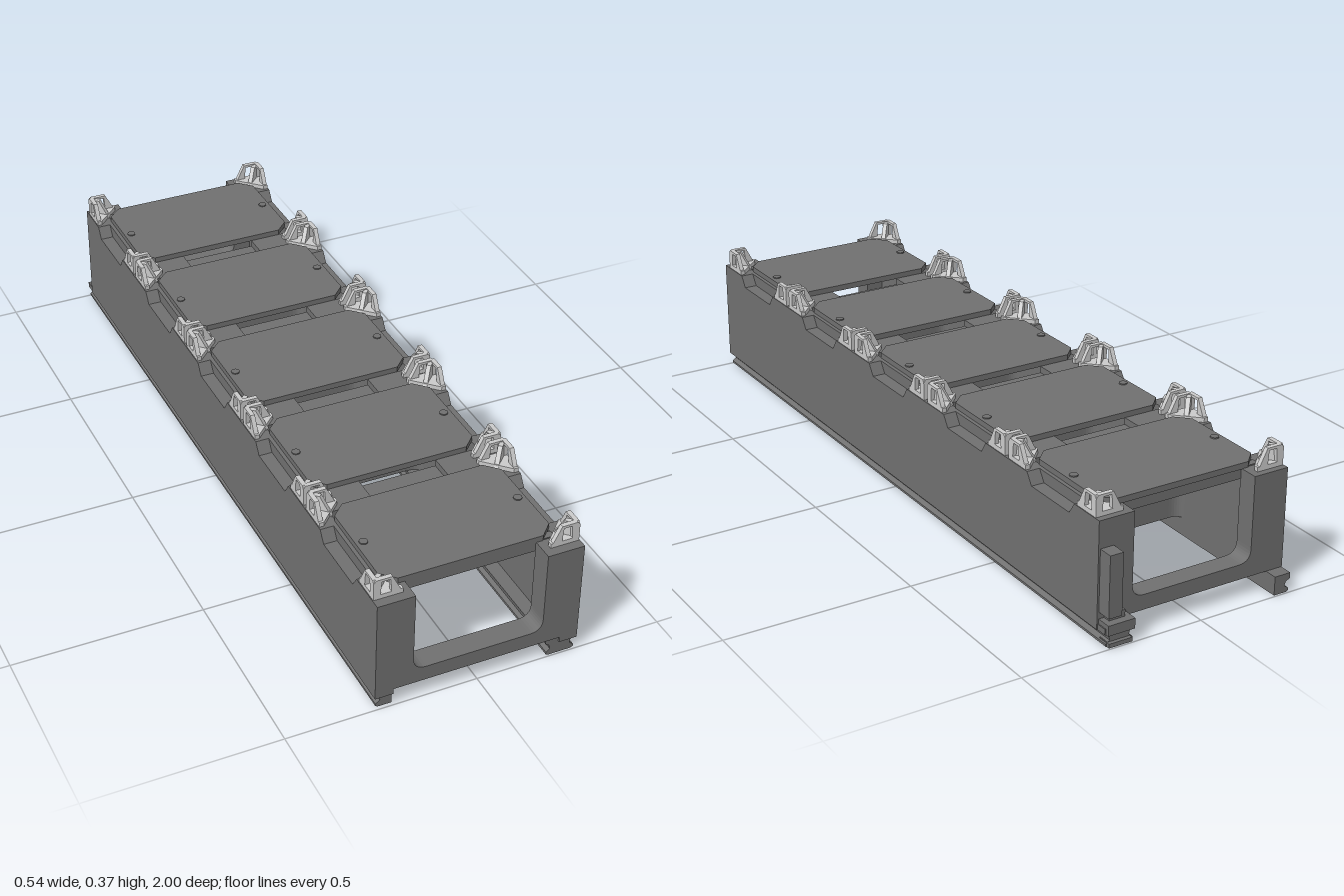
import * as THREE from 'three';

const dark = new THREE.MeshStandardMaterial({ color: 0x707070, flatShading: true });
const light = new THREE.MeshStandardMaterial({ color: 0xcccccc, flatShading: true });
const BAYS = [0.79, 0.403, 0.016, -0.371, -0.758]; // bay centres along z
const BACK = -0.96;

const poly = (pts) => new THREE.Shape(pts.map(([x, y]) => new THREE.Vector2(x, y)));
const extrude = (shape, depth) =>
  new THREE.ExtrudeGeometry(shape, { depth, bevelEnabled: false, curveSegments: 8 });

export function createModel() {
  const root = new THREE.Group();
  const add = (name, geo, mat = dark, parent = root) => {
    const mesh = new THREE.Mesh(geo, mat);
    mesh.name = name;
    parent.add(mesh);
    return mesh;
  };
  // box given by its limits on each axis
  const box = (name, x0, x1, y0, y1, z0, z1, mat = dark) =>
    add(name, new THREE.BoxGeometry(x1 - x0, y1 - y0, z1 - z0), mat)
      .position.set((x0 + x1) / 2, (y0 + y1) / 2, (z0 + z1) / 2);

  // Side walls: solid inner skin and an outer skin with scooped top notches
  const outline = [[BACK, 0.035], [1, 0.035], [1, 0.315]];
  for (const c of BAYS)
    outline.push([c + 0.1, 0.315], [c + 0.08, 0.285], [c - 0.08, 0.285], [c - 0.1, 0.315]);
  outline.push([BACK, 0.315]);
  for (const s of [-1, 1]) {
    const skin = extrude(poly(outline), 0.035).rotateY(-Math.PI / 2);
    add('sideWall', skin.translate(s > 0 ? 0.27 : -0.235, 0, 0));
    const [a, b] = s > 0 ? [0.222, 0.235] : [-0.235, -0.222];
    box('innerWall', a, b, 0.035, 0.315, BACK, 1);
  }

  // Bottom rails with a necked, flared profile
  const leftRail = [[0.185, 0.05], [0.188, 0.035], [0.197, 0.03], [0.2, 0.018], [0.19, 0.01],
    [0.19, 0.003], [0.197, 0], [0.258, 0], [0.265, 0.004], [0.265, 0.01], [0.254, 0.018],
    [0.256, 0.029], [0.268, 0.035], [0.268, 0.05]];
  const rightRail = [[-0.222, 0.05], [-0.268, 0.05], [-0.268, 0.035], [-0.256, 0.029],
    [-0.252, 0.018], [-0.264, 0.01], [-0.264, 0.004], [-0.258, 0], [-0.222, 0]];
  add('leftRail', extrude(poly(leftRail), 1.985).translate(0, 0, -0.99));
  add('rightRail', extrude(poly(rightRail), 1.985).translate(0, 0, -0.995));

  // End frames: U-shaped with rounded lower corners
  const frame = new THREE.Shape();
  frame.moveTo(-0.268, 0.05);
  frame.lineTo(0.268, 0.05);
  frame.lineTo(0.268, 0.315);
  frame.lineTo(0.172, 0.315);
  frame.lineTo(0.172, 0.125);
  frame.quadraticCurveTo(0.172, 0.09, 0.137, 0.09);
  frame.lineTo(-0.137, 0.09);
  frame.quadraticCurveTo(-0.172, 0.09, -0.172, 0.125);
  frame.lineTo(-0.172, 0.315);
  frame.lineTo(-0.268, 0.315);
  add('frontFrame', extrude(frame, 0.06).translate(0, 0, 0.94));
  add('backFrame', extrude(frame, 0.055).translate(0, 0, BACK));
  box('frontBeam', -0.222, 0.222, 0.288, 0.318, 0.92, 0.94);
  box('backBeam', -0.222, 0.222, 0.288, 0.318, -0.907, -0.887);

  // Dividers between bays, blended into the walls by round fillets
  const w = 0.224, d = 0.042, r = 0.035;
  const plan = new THREE.Shape();
  plan.moveTo(-w, -d - r);
  plan.quadraticCurveTo(-w, -d, -w + r, -d);
  plan.lineTo(w - r, -d);
  plan.quadraticCurveTo(w, -d, w, -d - r);
  plan.lineTo(w, d + r);
  plan.quadraticCurveTo(w, d, w - r, d);
  plan.lineTo(-w + r, d);
  plan.quadraticCurveTo(-w, d, -w, d + r);
  const bar = poly([[-w, 0.288], [w, 0.288], [w, 0.315], [0.105, 0.315], [0.105, 0.297],
    [-0.105, 0.297], [-0.105, 0.315], [-w, 0.315]]);
  for (let i = 0; i < 4; i++) {
    const z = (BAYS[i] + BAYS[i + 1]) / 2;
    add('divider', extrude(plan, 0.19).rotateX(Math.PI / 2).translate(0, 0.24, z));
    add('dividerTopBar', extrude(bar, 2 * d).translate(0, 0, z - d));
    box('dividerPost', -w, -0.153, 0.24, 0.288, z - d, z + d);
    box('dividerPost', 0.153, w, 0.24, 0.288, z - d, z + d);
  }

  // Corner locator: two sloped windowed legs on a triangular foot with a brace
  const leg = poly([[0, 0], [0.076, 0], [0.048, 0.055], [0.006, 0.055], [0, 0.047]]);
  leg.holes.push(new THREE.Path(
    [[0.018, 0.012], [0.021, 0.048], [0.043, 0.048], [0.046, 0.012]]
      .map(([x, y]) => new THREE.Vector2(x, y))));
  const legX = extrude(leg, 0.012);
  const legZ = extrude(leg, 0.012).rotateY(-Math.PI / 2).translate(0.012, 0, 0);
  const foot = extrude(poly([[0, 0], [0.076, 0], [0.076, 0.012], [0.012, 0.076], [0, 0.076]]), 0.012)
    .rotateX(Math.PI / 2).translate(0, 0.012, 0);
  const brace = extrude(poly([[0, 0], [0.058, 0], [0.028, 0.052], [0, 0.052]]), 0.012)
    .translate(0, 0, -0.006).rotateY(-Math.PI / 4).translate(0.006, 0, 0.006);

  // Top plates with clipped corners, pins and four locators each
  const p = 0.225, q = 0.152, k = 0.035;
  const plate = poly([[-p + k, -q], [p - k, -q], [p, -q + k], [p, q - k], [p - k, q],
    [-p + k, q], [-p, q - k], [-p, -q + k]]);
  for (const c of BAYS) {
    add('topPlate', extrude(plate, 0.016).rotateX(Math.PI / 2).translate(0, 0.33, c));
    for (const sx of [-1, 1]) {
      add('platePin', new THREE.CylinderGeometry(0.011, 0.011, 0.004, 12))
        .position.set(sx * 0.205, 0.331, c);
      for (const sz of [-1, 1]) {
        const locator = new THREE.Group();
        locator.name = 'cornerLocator';
        locator.position.set(sx * 0.268, 0.315, c + sz * 0.185);
        locator.scale.set(-sx, 1, -sz);
        add('locatorLeg', legX, light, locator);
        add('locatorLeg', legZ, light, locator);
        add('locatorFoot', foot, light, locator);
        add('locatorBrace', brace, light, locator);
        root.add(locator);
      }
    }
  }

  // Back coupling on the left side: tall lip above a clip block
  box('backLip', 0.228, 0.265, 0.08, 0.243, -1, BACK);
  box('couplingClip', 0.19, 0.265, 0.035, 0.062, -1, BACK);
  box('couplingPin', 0.205, 0.25, 0.062, 0.08, -0.98, BACK);
  box('couplingFoot', 0.197, 0.262, 0.003, 0.014, -1, BACK);
  return root;
}
